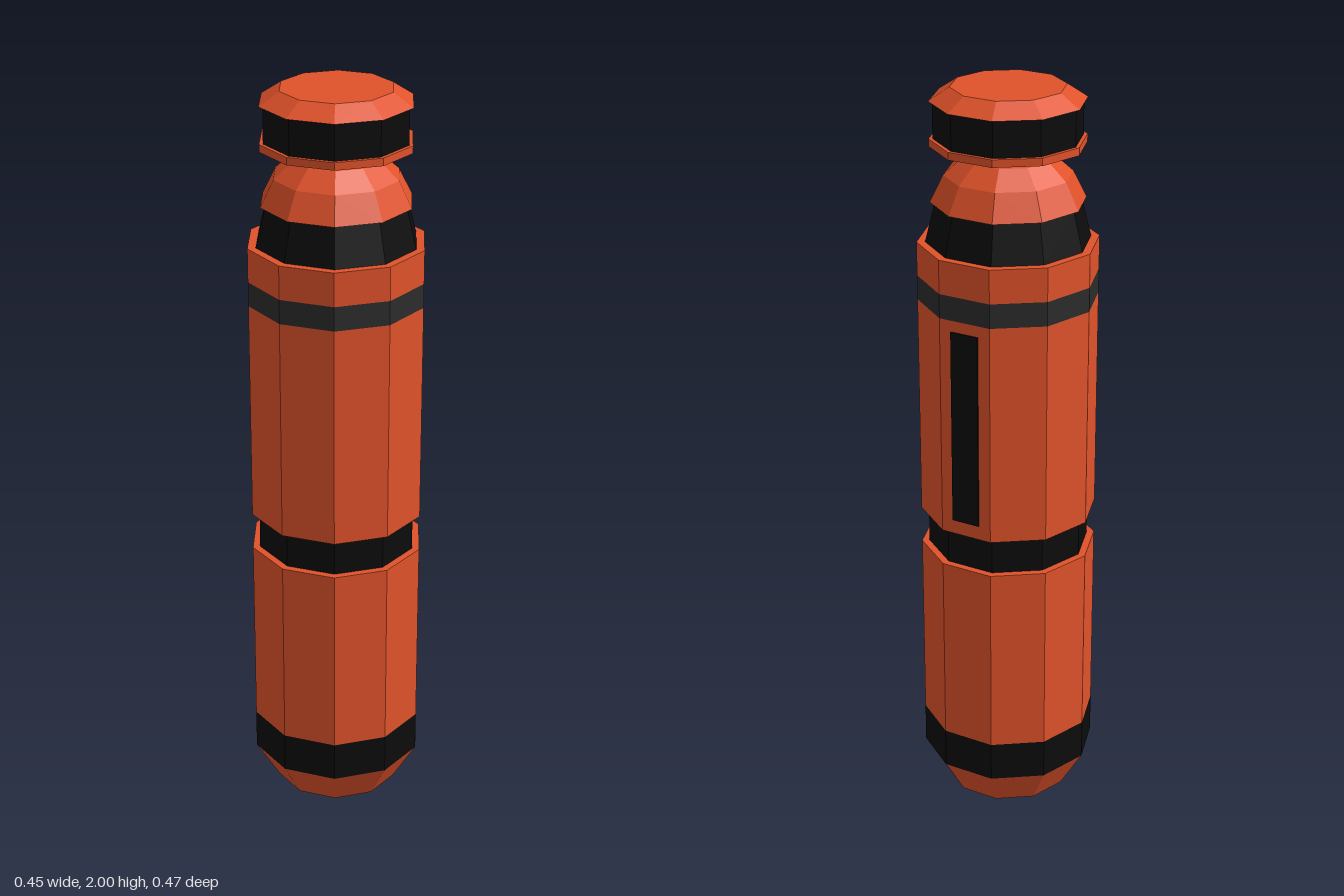
import * as THREE from 'three';

const SIDES = 10;
const material = (color) => new THREE.MeshStandardMaterial({ color, flatShading: true });

export function createModel() {
  const group = new THREE.Group();
  const orange = material(0xe0522a);
  const black = material(0x0c0c0c);
  const grey = material(0x2c2c2c);

  // Ten-sided ring section between two heights
  function section(name, y0, y1, r0, r1, mat) {
    const geometry = new THREE.CylinderGeometry(r1, r0, y1 - y0, SIDES);
    const mesh = new THREE.Mesh(geometry, mat);
    mesh.position.y = (y0 + y1) / 2;
    mesh.name = name;
    group.add(mesh);
    return mesh;
  }

  // Tapered foot with a black underside
  section('foot', 0, 0.11, 0.17, 0.235, [orange, orange, black]);
  section('lowerBand', 0.11, 0.22, 0.235, 0.235, black);

  // Two body tubes split by a recessed groove
  section('lowerBody', 0.22, 0.745, 0.235, 0.235, orange);
  section('groove', 0.745, 0.845, 0.215, 0.215, black);
  section('upperBody', 0.845, 1.445, 0.235, 0.235, orange);
  section('upperBand', 1.445, 1.51, 0.235, 0.235, grey);
  section('bodyRim', 1.51, 1.6, 0.235, 0.235, orange);

  // Collar and faceted dome
  section('collar', 1.6, 1.705, 0.213, 0.187, black);
  const domeProfile = [[0, 1.705], [0.2, 1.705], [0.165, 1.775], [0.115, 1.82], [0.08, 1.835], [0, 1.835]];
  const dome = new THREE.Mesh(
    new THREE.LatheGeometry(domeProfile.map(([r, y]) => new THREE.Vector2(r, y)), SIDES), orange);
  dome.name = 'dome';
  group.add(dome);

  // Neck and button head
  section('neck', 1.825, 1.85, 0.085, 0.085, orange);
  section('headFlange', 1.85, 1.87, 0.2, 0.2, [orange, orange, black]);
  section('headBand', 1.87, 1.965, 0.19, 0.19, black);
  section('headCap', 1.965, 2, 0.2, 0.147, orange);

  // Narrow window on one rear facet
  const angle = THREE.MathUtils.degToRad(198);
  const apothem = 0.235 * Math.cos(Math.PI / SIDES);
  const slot = new THREE.Mesh(new THREE.BoxGeometry(0.078, 0.53, 0.008), black);
  slot.position.set(Math.sin(angle) * apothem, 1.15, Math.cos(angle) * apothem);
  slot.rotation.y = angle;
  slot.name = 'windowSlot';
  group.add(slot);

  return group;
}
